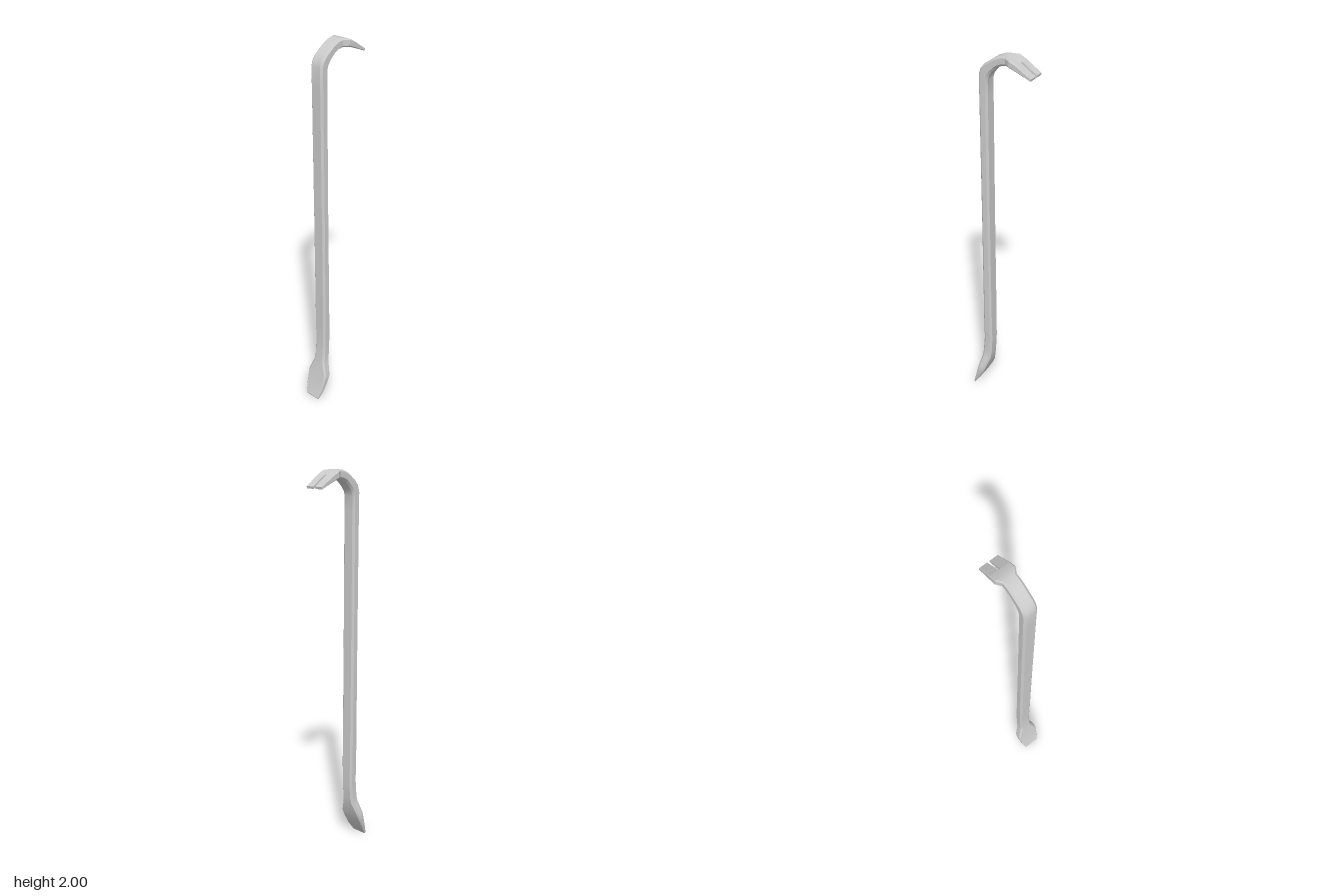
import * as THREE from 'three';
import { toCreasedNormals } from 'three/addons/utils/BufferGeometryUtils.js';

// Stations from chisel tip to claw: outer [z, y], inner [z, y], half width, chamfer
const BAR = [
  [0.170, 0.010, 0.164, 0.000, 0.043, 0.001],
  [0.152, 0.060, 0.135, 0.045, 0.055, 0.003],
  [0.138, 0.115, 0.103, 0.105, 0.061, 0.006],
  [0.130, 0.150, 0.086, 0.143, 0.062, 0.008],
  [0.117, 0.215, 0.067, 0.210, 0.038, 0.010],
  [0.112, 0.250, 0.060, 0.250, 0.034, 0.010],
  [0.104, 0.350, 0.055, 0.350, 0.034, 0.010],
  [0.105, 0.450, 0.056, 0.450, 0.036, 0.010],
  [0.108, 1.100, 0.062, 1.100, 0.036, 0.010],
  [0.113, 1.780, 0.066, 1.780, 0.036, 0.010],
  [0.114, 1.890, 0.066, 1.870, 0.036, 0.010],
  [0.105, 1.920, 0.059, 1.893, 0.036, 0.010],
  [0.083, 1.947, 0.043, 1.914, 0.036, 0.010],
  [0.034, 1.982, 0.015, 1.940, 0.036, 0.010],
  [0.000, 1.996, -0.010, 1.952, 0.036, 0.009],
  [-0.030, 2.000, -0.032, 1.957, 0.036, 0.008],
  [-0.060, 1.995, -0.057, 1.958, 0.054, 0.006],
  [-0.095, 1.977, -0.091, 1.947, 0.0535, 0.004],
];
const CLAW_TIP = [-0.172, 1.926, -0.170, 1.915, 0.050, 0.001];

// Chamfered half section on the +x side, from the outer face round to the inner face
function halfSection([oz, oy, iz, iy, w, c], x0 = null) {
  const k = c / Math.hypot(oz - iz, oy - iy);
  const at = (x, s) => new THREE.Vector3(x, oy + (iy - oy) * s, oz + (iz - oz) * s);
  const pts = [at(w - c, 0), at(w, k), at(w, 1 - k), at(w - c, 1)];
  return x0 === null ? pts : [at(x0, 0), ...pts, at(x0, 1)];
}

const mirrored = (pts) => pts.map((p) => new THREE.Vector3(-p.x, p.y, p.z)).reverse();

// Skin a row of rings, with optional flat end caps
function loft(rings, capStart, capEnd) {
  const pos = [];
  const tri = (...v) => v.forEach((p) => pos.push(p.x, p.y, p.z));
  const n = rings[0].length;
  for (let i = 0; i < rings.length - 1; i++) {
    for (let j = 0; j < n; j++) {
      const k = (j + 1) % n;
      const [a, b, c, d] = [rings[i][j], rings[i][k], rings[i + 1][k], rings[i + 1][j]];
      tri(a, b, c);
      tri(a, c, d);
    }
  }
  const first = rings[0], last = rings[rings.length - 1];
  for (let j = 1; j < n - 1; j++) {
    if (capStart) tri(first[0], first[j + 1], first[j]);
    if (capEnd) tri(last[0], last[j], last[j + 1]);
  }
  const geo = new THREE.BufferGeometry();
  geo.setAttribute('position', new THREE.Float32BufferAttribute(pos, 3));
  return toCreasedNormals(geo, 0.5);
}

export function createModel() {
  const group = new THREE.Group();
  group.name = 'pryBar';
  const steel = new THREE.MeshStandardMaterial({ color: 0xcccccc });
  const add = (name, geo) => {
    const mesh = new THREE.Mesh(geo, steel);
    mesh.name = name;
    group.add(mesh);
  };

  // Chisel end, shaft and hook in one sweep
  const barRings = BAR.map((s) => {
    const half = halfSection(s);
    return [...half, ...mirrored(half)];
  });
  add('bar', loft(barRings, true, false));

  // Two claw prongs either side of a slot with a rounded end
  const root = BAR[BAR.length - 1];
  const prong = [[0, 0], [0.015, 0.0035], [0.06, 0.006], [0.5, 0.006], [1, 0.006]].map(([t, x0]) =>
    halfSection(root.map((v, i) => v + (CLAW_TIP[i] - v) * t), x0));
  add('leftClawProng', loft(prong, false, true));
  add('rightClawProng', loft(prong.map(mirrored), false, true));

  return group;
}
